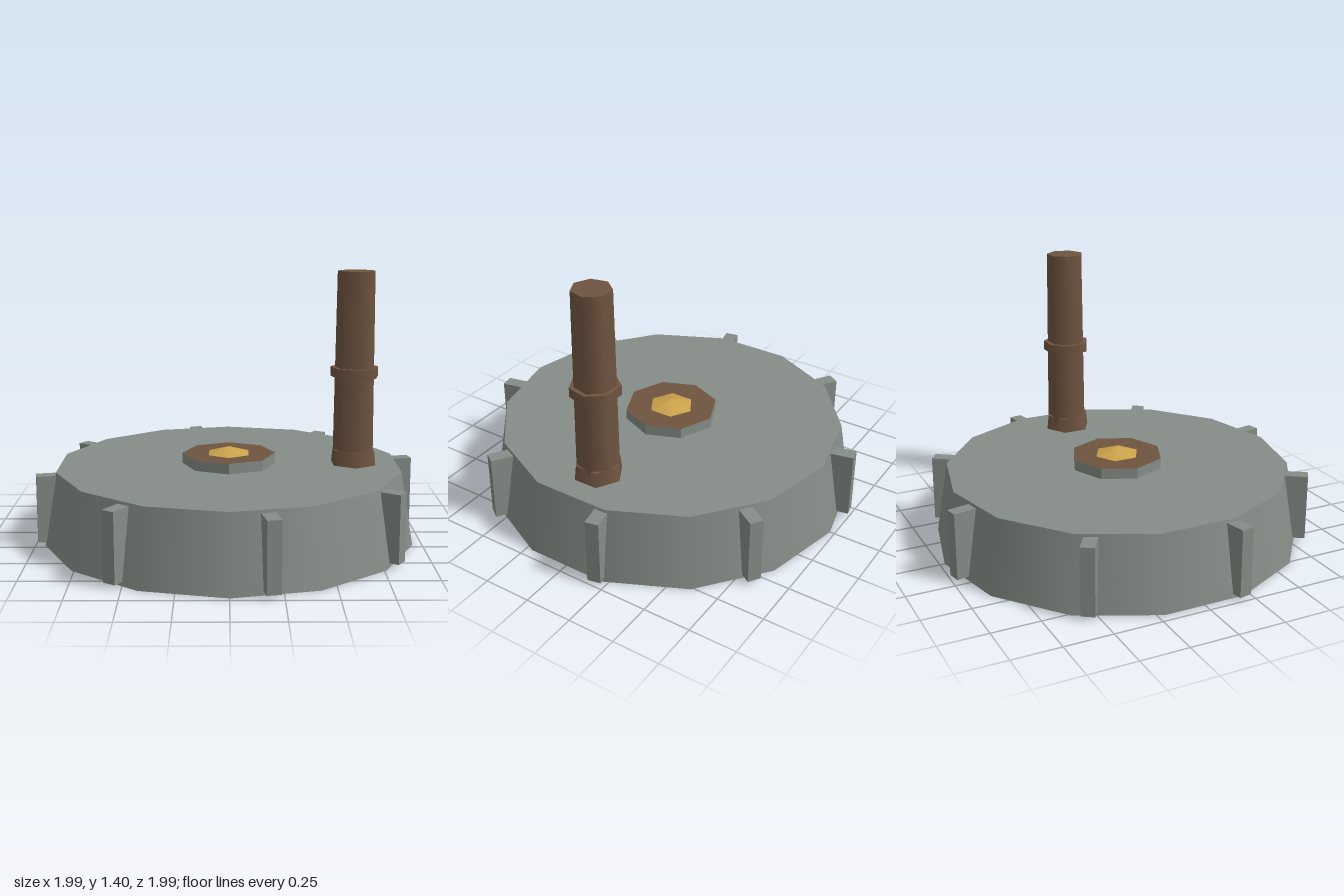
import * as THREE from 'three';

const material = (name, color) => {
  const m = new THREE.MeshStandardMaterial({ color });
  m.name = name;
  return m;
};

export function createModel() {
  const stone = material('grey stone', 0x858c86);
  const wood = material('brown wood', 0x6f5440);
  const brass = material('brass', 0xcaa24a);

  const model = new THREE.Group();
  model.name = 'grindingStone';

  const add = (name, geometry, mat, x, y, z) => {
    const mesh = new THREE.Mesh(geometry, mat);
    mesh.name = name;
    mesh.position.set(x, y, z);
    model.add(mesh);
    return mesh;
  };

  // Upright prism or frustum standing on a given height
  const post = (name, rTop, rBottom, y0, y1, sides, mat, x = 0) =>
    add(name, new THREE.CylinderGeometry(rTop, rBottom, y1 - y0, sides), mat, x, (y0 + y1) / 2, 0);

  // Tapered stone disc
  post('stoneDisc', 0.91, 0.975, 0, 0.385, 14, stone);

  // Eight upright ribs around the rim
  for (let i = 0; i < 8; i++) {
    const a = 0.2 + (i * Math.PI) / 4;
    const rib = add('rimRib', new THREE.BoxGeometry(0.07, 0.35, 0.12), stone,
      Math.sin(a) * 0.95, 0.195, Math.cos(a) * 0.95);
    rib.rotation.y = a;
  }

  // Faceted hub: stone sides with a wooden top face
  const hub = post('hub', 0.245, 0.245, 0.38, 0.44, 8, [stone, wood, stone]);
  hub.geometry = hub.geometry.toNonIndexed();
  hub.geometry.computeVertexNormals();

  // Low brass boss in the middle of the hub
  add('hubBoss', new THREE.ConeGeometry(0.12, 0.036, 6), brass, 0, 0.458, 0);

  // Crank handle with socket and collar
  const hx = 0.66;
  post('handleSocket', 0.118, 0.128, 0.38, 0.463, 6, wood, hx);
  post('handleShaft', 0.1, 0.11, 0.38, 1.4, 7, wood, hx);
  post('handleCollar', 0.128, 0.128, 0.85, 0.9, 7, wood, hx);

  return model;
}
